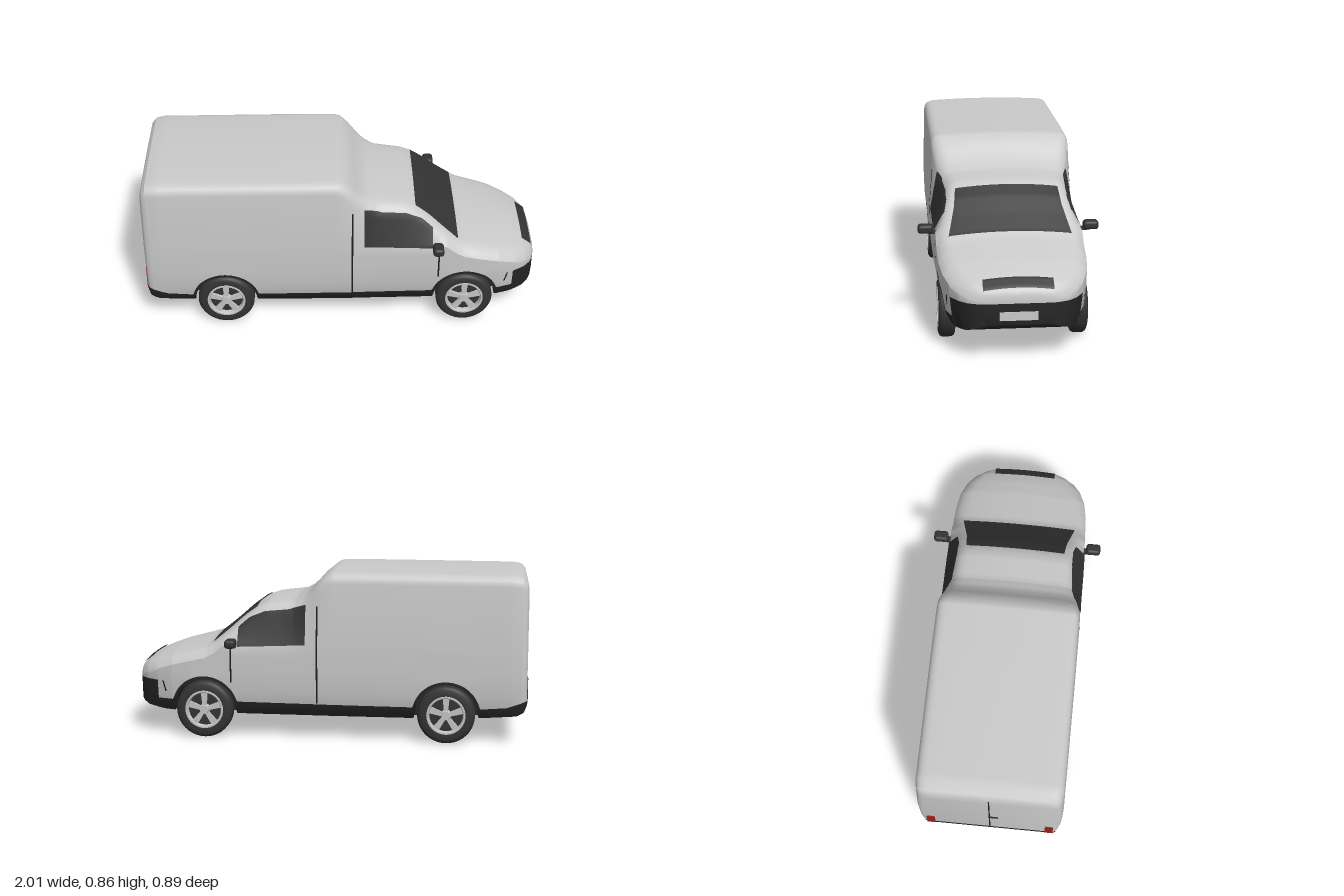
import * as THREE from 'three';
import { toCreasedNormals } from 'three/addons/utils/BufferGeometryUtils.js';
import { RoundedBoxGeometry } from 'three/addons/geometries/RoundedBoxGeometry.js';

const mat = (name, color, side = THREE.FrontSide) => {
  const m = new THREE.MeshStandardMaterial({ color, side });
  m.name = name;
  return m;
};

// Body stations: x, roof height, half width at the belt, half width at the roof, crown, corner radius
const BODY = [
  [-1, .79, .338, .318, .012, .05], [-.99, .83, .354, .337, .012, .05], [-.97, .85, .363, .35, .012, .05],
  [-.93, .857, .367, .357, .012, .05], [-.3, .86, .37, .358, .012, .05], [-.03, .86, .37, .356, .012, .05],
  [0, .852, .37, .354, .012, .055], [.04, .82, .37, .345, .014, .06], [.08, .775, .368, .332, .016, .06],
  [.12, .74, .367, .318, .018, .06], [.17, .716, .366, .305, .02, .06], [.24, .708, .365, .296, .02, .055],
  [.31, .7, .364, .29, .02, .05], [.36, .683, .363, .288, .02, .05], [.42, .64, .362, .296, .02, .045],
  [.5, .57, .361, .312, .02, .045], [.58, .505, .36, .325, .02, .04], [.62, .484, .36, .33, .024, .045],
  [.7, .465, .358, .33, .03, .05], [.8, .44, .345, .315, .03, .05], [.88, .413, .318, .285, .03, .05],
  [.94, .387, .28, .25, .025, .045], [.975, .362, .24, .21, .02, .04], [.99, .347, .205, .18, .015, .035],
  [1, .327, .165, .14, .012, .03],
];
const FLOOR = [[-1, .2], [-.985, .165], [-.95, .145], [-.78, .13], [-.4, .12], [.5, .12], [.85, .13], [.95, .145], [.99, .165], [1, .18]];
const TRIM = [[-1, .225], [-.9, .19], [-.78, .18], [.879, .19], [.88, .285], [1, .285]];
const TUMBLE = [[.11, .84], [.14, .9], [.18, .95], [.3, .99], [.45, 1]];
const AXLES = [-.6, .63], WHEEL_Y = .145, ARCH = .158, LIP = .172;

// Linear look-up in a table whose first column rises
function look(table, x, col = 1) {
  let i = 1;
  while (i < table.length - 1 && table[i][0] < x) i++;
  const a = table[i - 1], b = table[i];
  const t = THREE.MathUtils.clamp((x - a[0]) / (b[0] - a[0]), 0, 1);
  return a[col] + (b[col] - a[col]) * t;
}

// Half cross-section at x, from the floor centre over the wheel well and side to the roof centre, as [z, y]
const TRIM_INDEX = 5, SIDE_INDEX = 3;
function section(x) {
  const [top, w, wt, crown, r] = [1, 2, 3, 4, 5].map(c => look(BODY, x, c));
  const floor = look(FLOOR, x);
  let well = floor, trim = look(TRIM, x);
  for (const ax of AXLES) {
    const d = Math.abs(x - ax);
    if (d <= ARCH + 1e-6) well = Math.max(well, WHEEL_Y + Math.sqrt(Math.max(0, ARCH ** 2 - d * d)));
    if (d < LIP) trim = Math.max(trim, WHEEL_Y + Math.sqrt(LIP ** 2 - d * d));
  }
  const belt = Math.max(trim + .01, Math.min(.48, top - .07));
  const side = y => w * look(TUMBLE, y);
  const inner = Math.min(.25, side(floor) * .8);
  const pts = [[0, floor], [inner, floor], [inner, well]];
  for (const t of [0, .5, 1]) {
    const y = well + (trim - well) * t;
    pts.push([side(y), y]);
  }
  for (let i = 1; i <= 5; i++) {
    const y = trim + (belt - trim) * i / 5;
    pts.push([side(y), y]);
  }
  const [wb] = pts[pts.length - 1];
  const edge = Math.max(top - crown, belt + .005);
  const k = Math.min(.9, r / Math.hypot(wt - wb, edge - belt));
  const p0 = [wt + (wb - wt) * k, edge + (belt - edge) * k];
  const crownY = z => top - (top - edge) * (z / wt) ** 2;
  const z2 = wt - r, p2 = [z2, crownY(z2)];
  for (let i = 0; i <= 6; i++) {
    const t = i / 6, a = (1 - t) ** 2, b = 2 * t * (1 - t), c = t * t;
    pts.push([a * p0[0] + b * wt + c * p2[0], a * p0[1] + b * edge + c * p2[1]]);
  }
  for (let i = 1; i <= 5; i++) {
    const z = z2 * (1 - i / 5);
    pts.push([z, crownY(z)]);
  }
  return pts;
}

// Surface look-ups for fitting details to the shell
const sideZ = (x, y) => look(section(x).slice(SIDE_INDEX).map(([z, h]) => [h, z]), y);
const topY = (x, z) => look(section(x).slice(TRIM_INDEX).reverse(), Math.abs(z));

function bodyGeometry() {
  const xs = [...BODY, ...FLOOR, ...TRIM].map(s => s[0]);
  for (let i = 1; i < 60; i++) xs.push(-1 + i / 30);
  for (const ax of AXLES) for (const r of [ARCH, LIP]) {
    for (let i = 0; i <= 20; i++) xs.push(ax + r * Math.cos(Math.PI * i / 20));
  }
  xs.sort((a, b) => a - b);
  const stations = xs.filter((x, i) => i === 0 || x - xs[i - 1] > 1e-5);
  const pos = [], dark = [], paint = [];
  let half = 0, n = 0;
  for (const x of stations) {
    const s = section(x);
    half = s.length - 1;
    n = half * 2;
    const ring = [...s, ...s.slice(1, half).reverse().map(([z, y]) => [-z, y])];
    ring.forEach(([z, y]) => pos.push(x, y, z));
  }
  const list = j => (j < TRIM_INDEX ? dark : paint);
  for (let i = 0; i < stations.length - 1; i++) for (let j = 0; j < n; j++) {
    const a = i * n + j, c = i * n + (j + 1) % n, b = a + n, d = c + n;
    list(j < half ? j : n - 1 - j).push(a, b, d, a, d, c);
  }
  // Closed nose and tail
  const last = (stations.length - 1) * n;
  for (let j = 0; j < half; j++) {
    const q = [j, (n - j) % n, n - j - 1, j + 1];
    const f = q.map(v => v + last);
    list(j).push(f[0], f[1], f[2], f[0], f[2], f[3], q[0], q[2], q[1], q[0], q[3], q[2]);
  }
  const g = new THREE.BufferGeometry();
  g.setAttribute('position', new THREE.Float32BufferAttribute(pos, 3));
  g.setIndex([...paint, ...dark]);
  g.addGroup(0, paint.length, 0);
  g.addGroup(paint.length, dark.length, 1);
  return toCreasedNormals(g, .6);
}

// Curved sheet from a rule (u, v) -> [x, y, z]
function sheet(rule, nu, nv) {
  const g = new THREE.PlaneGeometry(1, 1, nu, nv), p = g.attributes.position;
  for (let i = 0; i < p.count; i++) p.setXYZ(i, ...rule(p.getX(i) + .5, p.getY(i) + .5));
  g.computeVertexNormals();
  return g;
}

export function createModel() {
  const van = new THREE.Group();
  van.name = 'van';
  const paint = mat('bodyPaint', 0xcacaca);
  const plastic = mat('blackPlastic', 0x262626);
  const glass = mat('darkGlass', 0x343434, THREE.DoubleSide);
  const seam = mat('seam', 0x1c1c1c, THREE.DoubleSide);
  const rubber = mat('rubber', 0x333333);
  const metal = mat('wheelMetal', 0xc4c4c4);
  const red = mat('tailLightRed', 0x9a211b);
  const add = (parent, name, geo, material, x = 0, y = 0, z = 0) => {
    const m = new THREE.Mesh(geo, material);
    m.name = name;
    m.position.set(x, y, z);
    parent.add(m);
    return m;
  };

  add(van, 'body', bodyGeometry(), [paint, plastic]);

  // Windscreen and grille lie on the upper surface
  const SCREEN = [[.365, .255], [.45, .265], [.585, .3]];
  add(van, 'windscreen', sheet((u, v) => {
    const x = .585 - .22 * v, z = (1 - 2 * u) * look(SCREEN, x);
    return [x + .003, topY(x, z) + .004, z];
  }, 32, 24), glass);
  add(van, 'grille', sheet((u, v) => {
    const x = .984 - .05 * v, z = (1 - 2 * u) * .165;
    return [x + .003, topY(x, z) + .005, z];
  }, 16, 10), glass);

  // Side windows, door seams, mirrors and tail lights
  const SILL = [[.11, .49], [.455, .475]];
  const HEAD = [[.11, .69], [.2, .662], [.32, .65], [.4, .618], [.455, .57]];
  for (const s of [1, -1]) {
    const label = s > 0 ? 'Right' : 'Left';
    add(van, 'sideWindow' + label, sheet((u, v) => {
      const x = .11 + .345 * u, y = THREE.MathUtils.lerp(look(SILL, x), look(HEAD, x), v);
      return [x, y, s * (sideZ(x, y) + .004)];
    }, 28, 12), glass);
    for (const [x0, y0, y1, lean] of [[.05, .19, .685, 0], [.49, .29, .465, 0], [.835, .23, .285, .015]]) {
      add(van, 'seam' + label, sheet((u, v) => {
        const x = x0 + (u - .5) * .008 + lean * v, y = y0 + (y1 - y0) * v;
        return [x, y, s * (sideZ(x, y) + .003)];
      }, 1, 20), seam);
    }
    add(van, 'mirror' + label, new RoundedBoxGeometry(.055, .044, .076, 4, .016), rubber, .48, .498, s * .408);
    add(van, 'mirrorArm' + label, new THREE.BoxGeometry(.03, .014, .05), rubber, .475, .478, s * .365);
    add(van, 'tailLight' + label, new THREE.BoxGeometry(.008, .13, .042), red, -1, .275, s * .303);
  }

  // Number plate, rear door seam and handle
  add(van, 'frontPlate', new THREE.BoxGeometry(.008, .042, .18), paint, 1, .224, 0);
  add(van, 'rearDoorSeam', new THREE.BoxGeometry(.006, .54, .006), seam, -1, .51, 0);
  add(van, 'rearHandle', new THREE.BoxGeometry(.01, .014, .045), plastic, -1, .45, .02);

  // Wheels
  const lathe = pts => new THREE.LatheGeometry(pts.map(p => new THREE.Vector2(...p)), 40).rotateX(Math.PI / 2);
  const tire = toCreasedNormals(lathe([[.094, -.04], [.125, -.04], [.138, -.034], [.145, -.022], [.145, .022], [.138, .034], [.125, .04], [.094, .038]]), .7);
  const rim = toCreasedNormals(lathe([[.099, .036], [.097, .041], [.089, .041], [.085, .034], [.084, .012]]), .7);
  const disc = new THREE.CylinderGeometry(.096, .096, .045, 32).rotateX(Math.PI / 2);
  const hub = new THREE.CylinderGeometry(.022, .028, .026, 20).rotateX(Math.PI / 2);
  const spokeShape = new THREE.Shape([[-.01, .015], [.01, .015], [.017, .088], [-.017, .088]].map(p => new THREE.Vector2(...p)));
  const spoke = new THREE.ExtrudeGeometry(spokeShape, { depth: .014, bevelEnabled: false });
  for (const ax of AXLES) for (const s of [1, -1]) {
    const wheel = new THREE.Group();
    wheel.name = (ax > 0 ? 'front' : 'rear') + 'Wheel' + (s > 0 ? 'Right' : 'Left');
    wheel.position.set(ax, WHEEL_Y, s * .32);
    if (s < 0) wheel.rotation.y = Math.PI;
    add(wheel, 'tire', tire, rubber);
    add(wheel, 'rim', rim, metal);
    add(wheel, 'backDisc', disc, rubber, 0, 0, -.008);
    add(wheel, 'hub', hub, metal, 0, 0, .028);
    for (let i = 0; i < 5; i++) add(wheel, 'spoke', spoke, metal, 0, 0, .02).rotation.z = i * Math.PI * .4;
    van.add(wheel);
  }
  return van;
}
